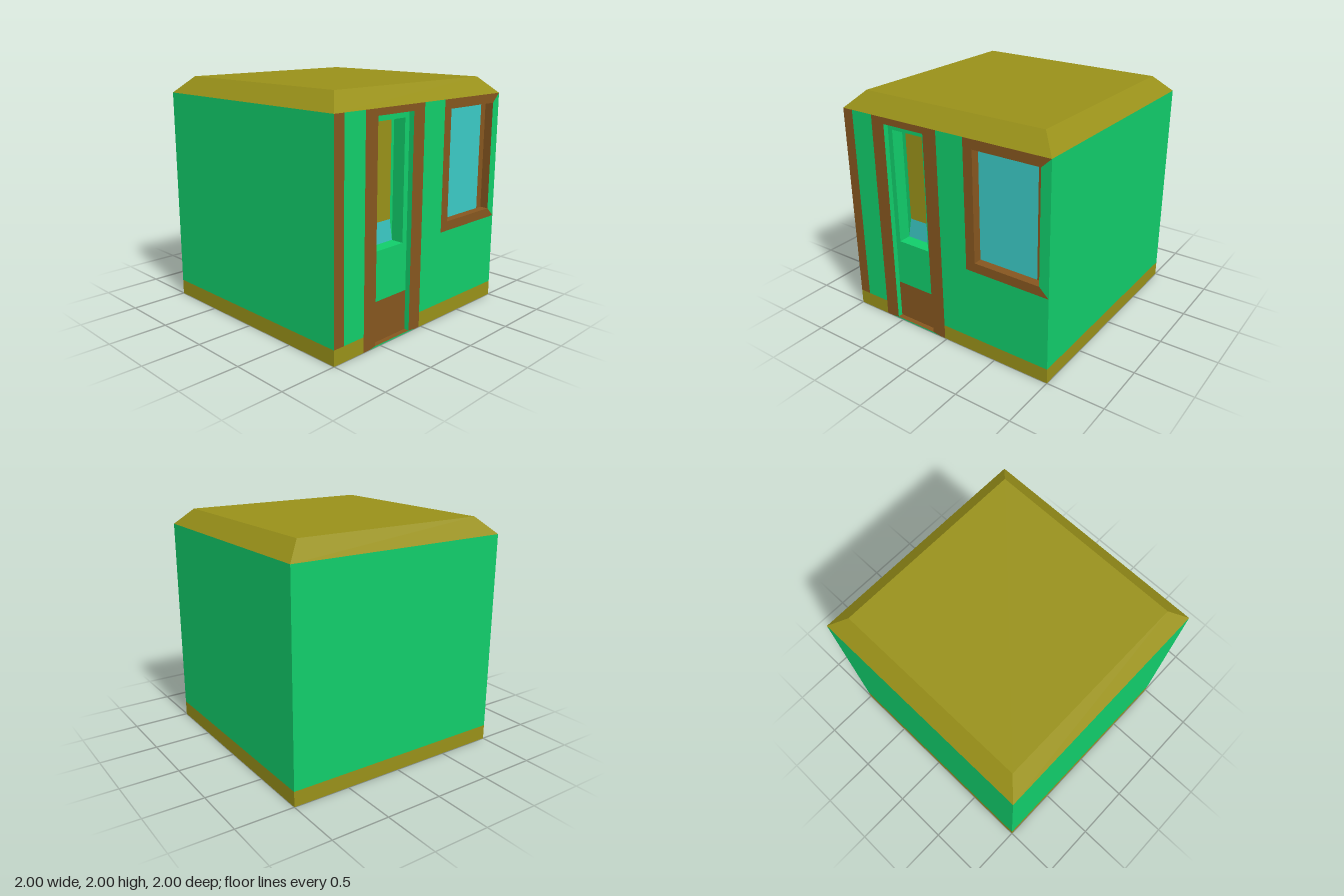
import * as THREE from 'three';

const GREEN = 0x11cc6a, BROWN = 0x85561f, OLIVE = 0x989019, CYAN = 0x3bc9c4;
const EAVE = 1.86, BASE = 0.13;

export function createModel() {
  const model = new THREE.Group();
  const materials = {};
  const material = (color) => (materials[color] ??= new THREE.MeshStandardMaterial({ color, flatShading: true }));

  function add(parent, name, geometry, color) {
    const mesh = new THREE.Mesh(geometry, material(color));
    mesh.name = name;
    parent.add(mesh);
    return mesh;
  }

  function group(name) {
    const g = new THREE.Group();
    g.name = name;
    model.add(g);
    return g;
  }

  // Flat panel facing +x at depth x, outlined by [z, y] points
  function panel(parent, name, color, points, x = 1) {
    const shape = new THREE.Shape(points.map(([z, y]) => new THREE.Vector2(-z, y)));
    add(parent, name, new THREE.ShapeGeometry(shape).rotateY(Math.PI / 2).translate(x, 0, 0), color);
  }
  const rect = (z0, z1, y0, y1) => [[z0, y0], [z1, y0], [z1, y1], [z0, y1]];

  // Four inward-facing sides of a rectangular recess, from x1 back to x0
  function reveal(parent, name, color, z0, z1, y0, y1, x0, x1, sillColor = color) {
    const d = x1 - x0, x = (x0 + x1) / 2, h = y1 - y0, w = z1 - z0;
    const y = (y0 + y1) / 2, z = (z0 + z1) / 2;
    add(parent, name + 'Sill', new THREE.PlaneGeometry(d, w).rotateX(-Math.PI / 2).translate(x, y0, z), sillColor);
    add(parent, name + 'Head', new THREE.PlaneGeometry(d, w).rotateX(Math.PI / 2).translate(x, y1, z), color);
    add(parent, name + 'BackJamb', new THREE.PlaneGeometry(d, h).translate(x, y, z0), color);
    add(parent, name + 'FrontJamb', new THREE.PlaneGeometry(d, h).rotateY(Math.PI).translate(x, y, z1), color);
  }

  // Plain front, left and back walls with a skirting band
  [['front', 0], ['right', -Math.PI / 2], ['back', Math.PI]].forEach(([side, angle]) => {
    const walls = group(side + 'Side');
    walls.rotation.y = angle;
    add(walls, side + 'Wall', new THREE.PlaneGeometry(2, EAVE - BASE).translate(0, (EAVE + BASE) / 2, 1), GREEN);
    add(walls, side + 'Skirting', new THREE.PlaneGeometry(2, BASE).translate(0, BASE / 2, 1), OLIVE);
  });
  add(model, 'underside', new THREE.PlaneGeometry(2, 2).rotateX(Math.PI / 2), GREEN);

  // Roof: sloped rim and flat top
  const roof = group('roof');
  const rim = new THREE.CylinderGeometry(0.86 * Math.SQRT2, Math.SQRT2, 2 - EAVE, 4, 1, true);
  add(roof, 'roofRim', rim.rotateY(Math.PI / 4).translate(0, (2 + EAVE) / 2, 0), OLIVE);
  add(roof, 'roofTop', new THREE.PlaneGeometry(1.72, 1.72).rotateX(-Math.PI / 2).translate(0, 2, 0), OLIVE);

  // Detailed wall on the +x side
  const wall = group('entranceWall');
  panel(wall, 'cornerPost', BROWN, rect(1, 0.9, BASE, EAVE));
  panel(wall, 'wallBesideDoor', GREEN, rect(0.9, 0.685, BASE, EAVE));
  panel(wall, 'wallUnderWindow', GREEN,
    [[0.02, BASE], [-1, BASE], [-1, 0.76], [-0.235, 0.76], [-0.235, EAVE], [0.02, EAVE]]);
  panel(wall, 'skirtingFront', OLIVE, rect(1, 0.685, 0, BASE));
  panel(wall, 'skirtingBack', OLIVE, rect(0.02, -1, 0, BASE));

  // Door: frame, recessed leaf and a deeper window opening in the leaf
  const door = group('door');
  const leafX = 0.955, doorPaneX = 0.845;
  panel(door, 'doorFrame', BROWN, [
    [0.685, 0], [0.62, 0], [0.555, 0.01], [0.555, 1.805], [0.15, 1.805],
    [0.15, 0.01], [0.07, 0], [0.02, 0], [0.02, EAVE], [0.685, EAVE]]);
  panel(door, 'threshold', GREEN, [[0.62, 0], [0.07, 0], [0.15, 0.01], [0.555, 0.01]]);
  reveal(door, 'doorway', GREEN, 0.15, 0.555, 0.01, 1.805, leafX, 1, BROWN);
  panel(door, 'kickPlate', BROWN, rect(0.555, 0.15, 0.01, 0.35), leafX);
  panel(door, 'leafBottom', GREEN, rect(0.555, 0.15, 0.35, 0.76), leafX);
  panel(door, 'leafTop', GREEN, rect(0.555, 0.15, 1.755, 1.805), leafX);
  panel(door, 'leafFrontStile', GREEN, rect(0.555, 0.51, 0.76, 1.755), leafX);
  panel(door, 'leafBackStile', GREEN, rect(0.2, 0.15, 0.76, 1.755), leafX);
  reveal(door, 'doorOpening', GREEN, 0.2, 0.51, 0.76, 1.755, doorPaneX, leafX);
  panel(door, 'doorPane', OLIVE, rect(0.475, 0.23, 0.94, 1.755), doorPaneX);
  panel(door, 'doorPaneFoot', CYAN, [[0.51, 0.76], [0.2, 0.76], [0.23, 0.94], [0.475, 0.94]], doorPaneX);
  panel(door, 'doorPaneFrontEdge', GREEN, [[0.51, 0.76], [0.475, 0.94], [0.475, 1.755], [0.51, 1.755]], doorPaneX);
  panel(door, 'doorPaneBackEdge', GREEN, [[0.2, 0.76], [0.2, 1.755], [0.23, 1.755], [0.23, 0.94]], doorPaneX);

  // Window: mitred frame, recess and glass
  const win = group('window');
  const glassX = 0.925;
  panel(win, 'windowFrame', BROWN, [
    [-0.235, 0.76], [-1, 0.76], [-0.915, 0.84], [-0.32, 0.84],
    [-0.32, 1.78], [-0.915, 1.78], [-1, EAVE], [-0.235, EAVE]]);
  panel(win, 'windowBackEdge', GREEN, [[-1, 0.76], [-1, EAVE], [-0.915, 1.78], [-0.915, 0.84]]);
  reveal(win, 'window', BROWN, -0.915, -0.32, 0.84, 1.78, glassX, 1);
  panel(win, 'windowGlass', CYAN, rect(-0.32, -0.85, 0.84, 1.78), glassX);
  panel(win, 'windowInnerStile', BROWN, rect(-0.85, -0.915, 0.84, 1.78), glassX);

  return model;
}
